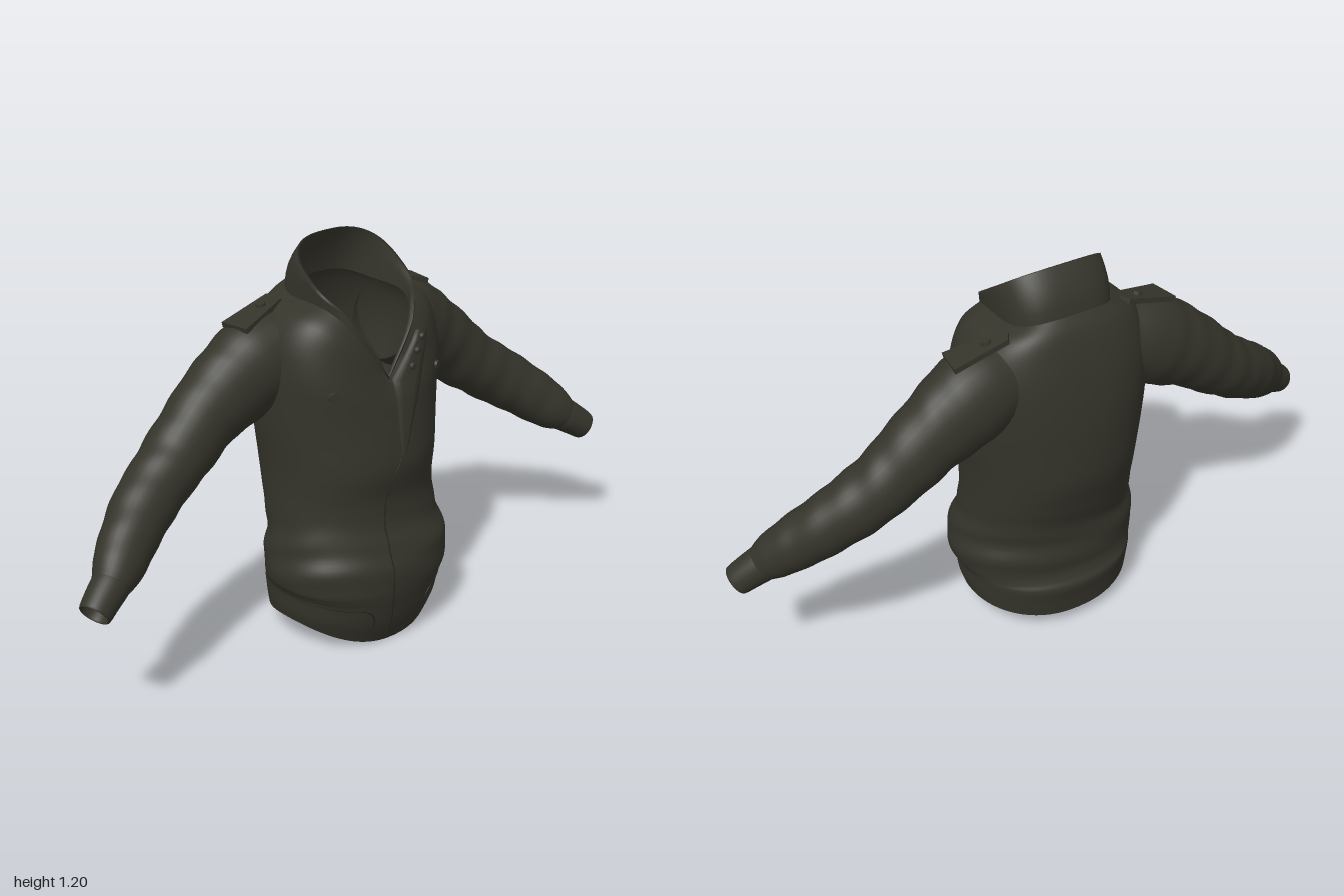
import * as THREE from 'three';

const V = (x, y, z) => new THREE.Vector3(x, y, z);
const spow = (v, p) => Math.sign(v) * Math.abs(v) ** p;

// Smoothly interpolate a table of stations at t in 0..1
function sample(table, t) {
  const f = t * (table.length - 1), i = Math.min(Math.floor(f), table.length - 2), u = f - i;
  const at = k => table[Math.max(0, Math.min(table.length - 1, k))];
  return table[i].map((b, k) => {
    const a = at(i - 1)[k], c = at(i + 1)[k], d = at(i + 2)[k];
    return b + 0.5 * u * (c - a + u * (2 * a - 5 * b + 4 * c - d + u * (3 * (b - c) + d - a)));
  });
}

// Skin a list of point rows into one surface
function loft(rows, closed = true, flip = false) {
  const n = rows[0].length, pos = [], idx = [];
  rows.forEach(r => r.forEach(p => pos.push(p.x, p.y, p.z)));
  for (let j = 0; j < rows.length - 1; j++) {
    for (let i = 0; i < (closed ? n : n - 1); i++) {
      const a = j * n + i, b = j * n + (i + 1) % n, c = a + n, d = b + n;
      if (flip) idx.push(a, b, c, b, d, c);
      else idx.push(a, c, b, b, c, d);
    }
  }
  const g = new THREE.BufferGeometry();
  g.setAttribute('position', new THREE.Float32BufferAttribute(pos, 3));
  g.setIndex(idx);
  g.computeVertexNormals();
  return g;
}

// Torso rings: y front, y side, y back, half width, z front, z back, squareness, V shape
const TORSO = [
  [0.00, 0.085, 0.045, 0.262, 0.200, -0.200, 2.2, 0],
  [0.07, 0.120, 0.100, 0.270, 0.230, -0.208, 2.2, 0],
  [0.14, 0.165, 0.150, 0.274, 0.247, -0.217, 2.2, 0],
  [0.165, 0.185, 0.175, 0.282, 0.252, -0.204, 2.2, 0],
  [0.20, 0.205, 0.205, 0.292, 0.256, -0.195, 2.2, 0],
  [0.27, 0.260, 0.260, 0.296, 0.254, -0.198, 2.2, 0],
  [0.32, 0.320, 0.320, 0.282, 0.235, -0.192, 2.2, 0],
  [0.38, 0.380, 0.380, 0.272, 0.213, -0.200, 2.2, 0],
  [0.46, 0.460, 0.460, 0.268, 0.207, -0.222, 2.2, 0],
  [0.56, 0.560, 0.560, 0.270, 0.222, -0.246, 2.2, 0],
  [0.65, 0.670, 0.680, 0.282, 0.214, -0.252, 2.2, 0],
  [0.71, 0.770, 0.790, 0.288, 0.205, -0.250, 2.3, 0.2],
  [0.76, 0.870, 0.900, 0.288, 0.196, -0.236, 2.5, 0.5],
  [0.79, 0.955, 0.985, 0.272, 0.185, -0.215, 2.6, 0.8],
  [0.805, 1.015, 1.040, 0.230, 0.178, -0.193, 2.8, 1],
  [0.815, 1.045, 1.075, 0.165, 0.168, -0.165, 3.0, 1],
];
const SEG = 72;
function ring([yF, yS, yB, hw, zF, zB, n, vee], inset = 0, wrinkle = true) {
  return Array.from({ length: SEG }, (_, i) => {
    const a = i / SEG * Math.PI * 2, c = spow(Math.cos(a), 2 / n), s = spow(Math.sin(a), 2 / n);
    const k = s > 0 ? THREE.MathUtils.lerp(Math.sin(a) ** 2, 1 - Math.abs(c), vee) : Math.sin(a) ** 2;
    const y = yS + ((s > 0 ? yF : yB) - yS) * k;
    const fold = wrinkle ? 0.014 * Math.exp(-(((y - 0.31) / 0.09) ** 2)) * Math.sin(62 * y + 2.5 * Math.sin(a * 2)) : 0;
    const m = 1 + fold;
    return V((hw - inset) * c * m, y, (zF + zB) / 2 + ((zF - zB) / 2 - inset) * s * m);
  });
}

// Sleeve stations: x, y, z, half height, half depth
const SLEEVE = [
  [0.20, 0.895, -0.075, 0.125, 0.115], [0.28, 0.868, -0.085, 0.140, 0.118],
  [0.36, 0.823, -0.088, 0.132, 0.110], [0.45, 0.768, -0.088, 0.116, 0.100],
  [0.54, 0.695, -0.080, 0.104, 0.095], [0.63, 0.630, -0.063, 0.097, 0.090],
  [0.72, 0.570, -0.035, 0.092, 0.084], [0.80, 0.510, 0.005, 0.084, 0.076],
  [0.86, 0.462, 0.040, 0.073, 0.066], [0.895, 0.435, 0.058, 0.056, 0.054],
];
const CUFF = [
  [0.875, 0.450, 0.048, 0.050, 0.049], [0.895, 0.435, 0.058, 0.055, 0.052],
  [0.935, 0.408, 0.073, 0.051, 0.049], [0.968, 0.384, 0.086, 0.046, 0.045],
  [0.966, 0.386, 0.085, 0.039, 0.038], [0.925, 0.413, 0.070, 0.038, 0.037],
];
function sleeveGeometry(table, steps, side, folds, fixedDir) {
  const rows = [];
  for (let j = 0; j <= steps; j++) {
    const t = j / steps, [x, y, z, h, d] = sample(table, t);
    const e = 0.02, p = sample(table, Math.max(0, t - e)), q = sample(table, Math.min(1, t + e));
    const T = fixedDir ? fixedDir.clone() : V(q[0] - p[0], q[1] - p[1], q[2] - p[2]).normalize();
    const D = V(0, 0, 1).addScaledVector(T, -T.z).normalize(), N = D.clone().cross(T);
    rows.push(Array.from({ length: 32 }, (_, i) => {
      const a = i / 32 * Math.PI * 2;
      const w = 1 + folds * Math.sin(Math.PI * t) * (Math.sin(58 * t + 2 * Math.sin(a)) + 0.6 * Math.sin(33 * t + 2 * a));
      const v = V(x, y, z).addScaledVector(N, h * w * Math.cos(a)).addScaledVector(D, d * w * Math.sin(a));
      v.x *= side;
      return v;
    }));
  }
  return loft(rows, true, side > 0);
}

export function createModel() {
  const group = new THREE.Group();
  const cloth = new THREE.MeshStandardMaterial({ color: 0x35342b, side: THREE.DoubleSide });
  cloth.name = 'dark olive cloth';
  const trim = new THREE.MeshStandardMaterial({ color: 0x27271f, side: THREE.DoubleSide });
  trim.name = 'dark trim';
  const add = (name, geo, mat = cloth) => {
    const m = new THREE.Mesh(geo, mat);
    m.name = name;
    group.add(m);
    return m;
  };

  // Body and the turned-in hem
  const rows = [];
  for (let j = 0; j <= 75; j++) rows.push(ring(sample(TORSO, j / 75)));
  const body = add('body', loft(rows));
  const lifted = ring(TORSO[0], 0.02, false);
  lifted.forEach(p => { p.y += 0.05; });
  add('hemFacing', loft([lifted, ring(TORSO[0], 0.012, false), rows[0]]));

  // Standing collar, shrinking to a narrow edge along the V
  const neck = rows[rows.length - 1];
  const rim = ring([0, 0, 0, 0.170, 0.158, -0.100, 2.7, 0], 0, false);
  rim.forEach((p, i) => {
    const line = 1.02 + 0.18 * (0.158 - p.z) / 0.258;
    const k = p.z > 0 ? THREE.MathUtils.smoothstep(Math.abs(p.x), 0.10, 0.15) : 1;
    p.y = THREE.MathUtils.lerp(neck[i].y + 0.012, line, k);
    if (p.z > 0) p.z = THREE.MathUtils.lerp(neck[i].z + 0.004, p.z, k);
  });
  const inward = (r, s, dy) => r.map(p => V(p.x * s, p.y + dy, (p.z - 0.02) * s + 0.02));
  const mix = t => neck.map((p, i) => {
    const q = p.clone().lerp(rim[i], t);
    q.z -= 0.014 * Math.sin(Math.PI * t) * (p.z < 0 ? 1 : 0);
    return q;
  });
  add('collar', loft([neck, mix(0.25), mix(0.5), mix(0.75), rim,
    inward(rim, 0.95, -0.001), inward(mix(0.5), 0.92, 0), inward(neck, 0.90, -0.012)]));

  // Sleeves, cuffs and shoulder straps
  for (const side of [1, -1]) {
    const s = side > 0 ? 'left' : 'right';
    add(s + 'Sleeve', sleeveGeometry(SLEEVE, 80, side, 0.017));
    add(s + 'Cuff', sleeveGeometry(CUFF, 25, side, 0, V(0.78, -0.55, 0.29).normalize()));
    const strap = new THREE.Group();
    strap.name = s + 'ShoulderStrap';
    const shape = new THREE.Shape([[-0.085, -0.03], [0.085, -0.047], [0.085, 0.047], [-0.085, 0.03], [-0.098, 0]]
      .map(([x, y]) => new THREE.Vector2(x * side, y)));
    const plate = new THREE.Mesh(new THREE.ExtrudeGeometry(shape, { depth: 0.016, bevelEnabled: false }).rotateX(-Math.PI / 2), cloth);
    plate.name = 'strap';
    const stud = new THREE.Mesh(new THREE.CylinderGeometry(0.013, 0.015, 0.01, 16), cloth);
    stud.name = 'strapButton';
    stud.position.set(-0.03 * side, 0.02, 0);
    strap.add(plate, stud);
    strap.position.set(0.272 * side, 1.004, -0.092);
    strap.rotation.set(0, -0.15 * side, -0.27 * side);
    group.add(strap);
  }

  // Place details on the front by projecting along z
  body.updateMatrixWorld();
  const caster = new THREE.Raycaster();
  const onFront = (x, y, lift = 0) => {
    caster.set(V(x, y, 1), V(0, 0, -1));
    const hit = caster.intersectObject(body)[0];
    return V(x, y, (hit ? hit.point.z : 0.17) + lift);
  };
  const seam = (name, pts) => {
    const flat = new THREE.CatmullRomCurve3(pts.map(([x, y]) => V(x, y, 0)));
    const path = flat.getSpacedPoints(24).map(p => onFront(p.x, p.y));
    add(name, new THREE.TubeGeometry(new THREE.CatmullRomCurve3(path), 48, 0.0025, 5), trim);
  };
  seam('frontSeam', [[0.01, 0.6], [-0.035, 0.5], [-0.05, 0.35], [-0.05, 0.2], [-0.035, 0.03]]);
  for (const s of [1, -1]) {
    seam('pocketSeam', [[0.268 * s, 0.172], [0.20 * s, 0.15], [0.13 * s, 0.135], [0.105 * s, 0.11], [0.10 * s, 0.075]]);
  }

  // Diagonal overlapping flap beside the V
  const flap = [];
  for (let j = 0; j <= 16; j++) {
    const t = j / 16;
    const a = [THREE.MathUtils.lerp(0.005, 0.112, Math.max(0, (t - 0.62) / 0.38)), t < 0.62 ? 0.6 + 0.215 * t / 0.62 : 0.815 + 0.125 * (t - 0.62) / 0.38];
    const b = [0.012 + 0.14 * t ** 0.9, 0.6 + 0.335 * t];
    flap.push([0, 0, 0.25, 0.5, 0.75, 1, 1].map((u, i) =>
      onFront(a[0] + (b[0] - a[0]) * u, a[1] + (b[1] - a[1]) * u, i === 0 || i === 6 ? -0.004 : 0.009)));
  }
  add('frontFlap', loft(flap, false, true));

  // Buttons
  for (const [x, y, r] of [[0.2, 0.81, 0.015], [-0.2, 0.81, 0.015], [0.075, 0.845, 0.011], [0.1, 0.885, 0.011], [0.125, 0.92, 0.011]]) {
    const b = add('button', new THREE.CylinderGeometry(r * 0.85, r, 0.01, 18).rotateX(Math.PI / 2));
    b.position.copy(onFront(x, y, r < 0.012 ? 0.011 : 0.003));
    b.rotation.y = x * 2;
  }
  return group;
}
